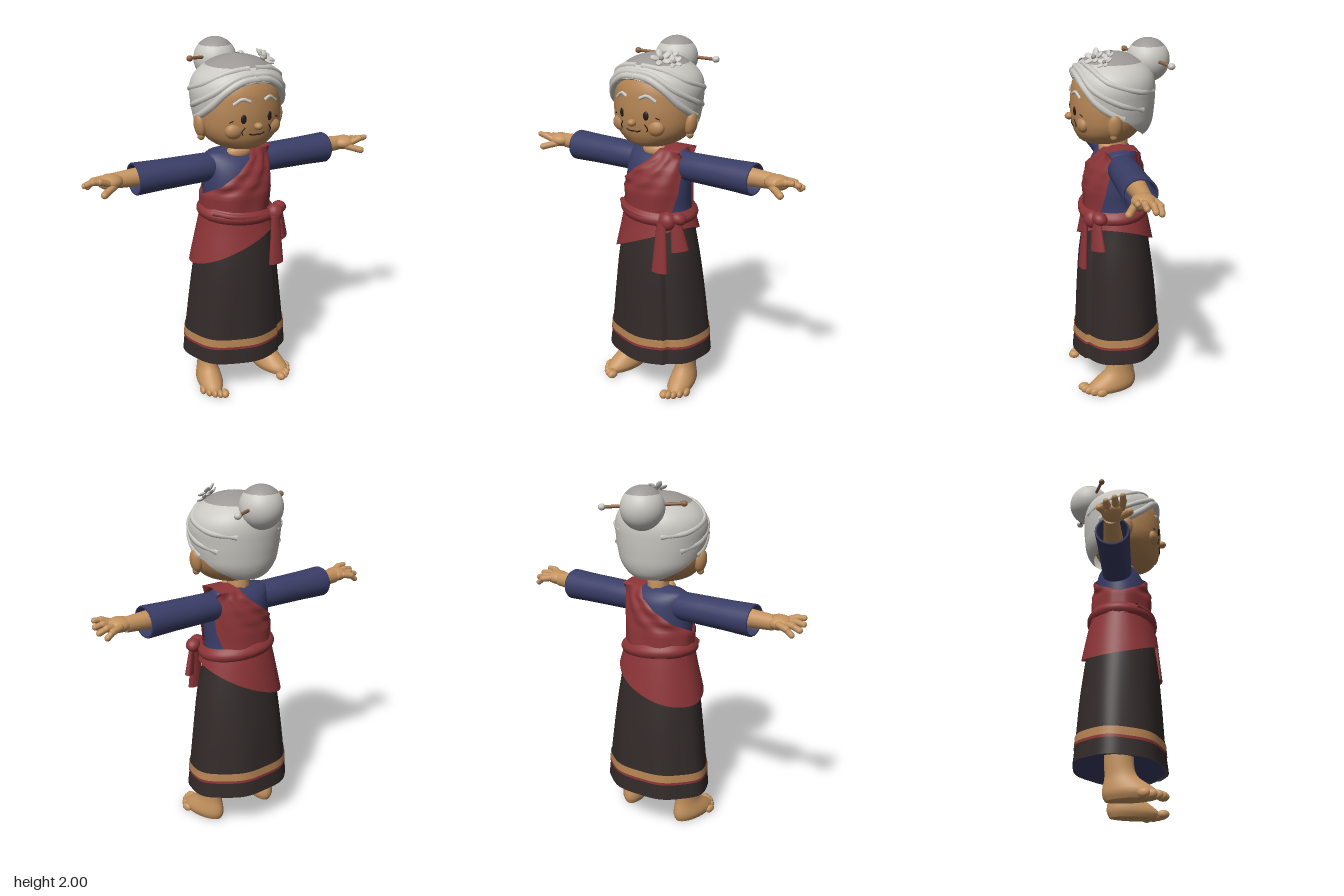
import * as THREE from 'three';
import { mergeVertices } from 'three/addons/utils/BufferGeometryUtils.js';

const paint = (name, color) => Object.assign(new THREE.MeshStandardMaterial({ color }), { name, side: THREE.DoubleSide });
const M = {
  skin: paint('skin', 0xc4935f), face: paint('face skin', 0xb58555), hair: paint('silver hair', 0xcac8c2),
  shade: paint('grey hair', 0x9c9896), blue: paint('indigo blouse', 0x393d66), red: paint('red sash', 0x8c3437),
  skirt: paint('dark skirt', 0x322a29), gold: paint('gold band', 0xb58352), dark: paint('dark brown', 0x241a17),
  pin: paint('wooden pin', 0x8d6242),
};

// Profile rows: height, half width, front depth, back depth
const BODY = [[.2, .315, .25, -.25], [.35, .3, .235, -.235], [.6, .27, .222, -.215], [.8, .243, .208, -.19], [1, .205, .18, -.16],
  [1.1, .19, .172, -.142], [1.2, .192, .178, -.138], [1.3, .19, .16, -.13], [1.37, .185, .125, -.115],
  [1.405, .178, .085, -.085], [1.425, .13, .055, -.06], [1.432, .06, .03, -.03]];
const HEAD = [[1.445, .01, .09, .06], [1.457, .1, .18, -.03], [1.5, .18, .225, -.1], [1.56, .222, .245, -.14], [1.63, .235, .252, -.16],
  [1.7, .235, .25, -.17], [1.78, .222, .237, -.17], [1.85, .17, .19, -.13], [1.9, .06, .1, -.04]];
const HAIR = [[1.48, .1, .1, -.12], [1.5, .15, .15, -.16], [1.56, .215, .22, -.19], [1.63, .242, .255, -.2], [1.7, .254, .265, -.205],
  [1.77, .258, .262, -.205], [1.83, .235, .245, -.19], [1.88, .18, .2, -.15], [1.92, .1, .13, -.08], [1.94, .005, .035, .025]];
const FOOT = [[0, .058, .2, -.065], [.03, .073, .215, -.08], [.07, .068, .17, -.078], [.12, .057, .105, -.068], [.2, .057, .085, -.07], [.36, .06, .09, -.07]];

// Smooth interpolation of a profile at height y
function ring(table, y) {
  let i = 0;
  while (i < table.length - 2 && y > table[i + 1][0]) i++;
  const a = table[i], b = table[i + 1], p = table[Math.max(i - 1, 0)], n = table[Math.min(i + 2, table.length - 1)];
  const h = b[0] - a[0], t = THREE.MathUtils.clamp((y - a[0]) / h, 0, 1), s = t * t * (3 - 2 * t);
  return [1, 2, 3].map(k => a[k] + (b[k] - a[k]) * s
    + h * (t * (1 - t) ** 2 * (b[k] - p[k]) / (b[0] - p[0]) - t * t * (1 - t) * (n[k] - a[k]) / (n[0] - a[0])));
}
// Point around a profile: angle 0 is the front, growing towards +x
function around(table, t, y, off = 0) {
  const [rx, zf, zb] = ring(table, y);
  return [(rx + off) * Math.sin(t), y, (zf + zb) / 2 + ((zf - zb) / 2 + off) * Math.cos(t)];
}
// Point on a profile under a given x, on the front (side 1) or back (side -1)
function onto(table, x, y, side = 1, off = 0) {
  const [rx, zf, zb] = ring(table, y), q = THREE.MathUtils.clamp(x / rx, -1, 1);
  const c = Math.sqrt(1 - q * q) * side;
  return [(rx + off) * q, y, (zf + zb) / 2 + ((zf - zb) / 2 + off) * c];
}
const rad = THREE.MathUtils.degToRad, TAU = Math.PI * 2;

function add(parent, name, geometry, material, pos = [0, 0, 0], scale = [1, 1, 1], rot = [0, 0, 0]) {
  const m = new THREE.Mesh(geometry, material);
  m.name = name;
  m.position.set(...pos); m.scale.set(...scale); m.rotation.set(...rot);
  parent.add(m);
  return m;
}
// Grid surface from fn(u, v)
function patch(parent, name, material, nu, nv, fn) {
  const pos = [], idx = [];
  for (let j = 0; j <= nv; j++) for (let i = 0; i <= nu; i++) pos.push(...fn(i / nu, j / nv));
  for (let j = 0; j < nv; j++) for (let i = 0; i < nu; i++) {
    const a = j * (nu + 1) + i, c = a + nu + 1;
    idx.push(a, a + 1, c + 1, a, c + 1, c);
  }
  let g = new THREE.BufferGeometry();
  g.setAttribute('position', new THREE.Float32BufferAttribute(pos, 3));
  g.setIndex(idx);
  g = mergeVertices(g, 1e-5);
  g.computeVertexNormals();
  return add(parent, name, g, material);
}
const ball = (p, name, mat, pos, scale, rot) => add(p, name, new THREE.SphereGeometry(1, 20, 14), mat, pos, scale, rot);
const tube = (p, name, mat, pts, r, n = 24) => add(p, name,
  new THREE.TubeGeometry(new THREE.CatmullRomCurve3(pts.map(q => new THREE.Vector3(...q))), n, r, 8), mat);
// Rounded limb between two points
function limb(p, name, mat, a, b, r) {
  const A = new THREE.Vector3(...a), B = new THREE.Vector3(...b), d = B.clone().sub(A);
  const m = add(p, name, new THREE.CapsuleGeometry(r, d.length(), 5, 10), mat, A.clone().add(B).multiplyScalar(.5).toArray());
  m.quaternion.setFromUnitVectors(new THREE.Vector3(0, 1, 0), d.normalize());
}

function buildClothes(g) {
  // Wrapped skirt with an overlapping front fold
  const fold = t => { const d = (rad(34) - t + TAU * 2) % TAU; return d < 2 ? .016 * (1 - d / 2) : 0; };
  const wave = (t, y) => fold(t) + .005 * Math.sin(t * 7 + 1) * Math.max(0, (1 - y) / .8);
  const wrap = (name, mat, lo, hi, off, nv) => patch(g, name, mat, 120, nv, (u, v) => {
    const t = u * TAU, a = lo(t), y = a + (hi(t) - a) * v;
    return around(BODY, t, y, wave(t, y) + off(v));
  });
  const hem = t => .216 - .012 * Math.cos(t);
  wrap('skirt', M.skirt, hem, () => 1.08, () => 0, 20);
  wrap('goldHemBand', M.gold, t => hem(t) + .105, t => hem(t) + .15, () => .005, 2);
  wrap('redHemBand', M.red, t => hem(t) + .09, t => hem(t) + .108, () => .004, 1);
  patch(g, 'underskirt', M.blue, 60, 4, (u, v) => {
    const [x, y, z] = around(BODY, u * TAU, hem(u * TAU) + .006, -.004);
    return [x * (1 - v), y + .06 * v, z * (1 - v)];
  });
  // Blouse and sleeves
  patch(g, 'blouse', M.blue, 60, 24, (u, v) => around(BODY, u * TAU, 1.04 + .392 * v));
  const sleeve = [[.06, .1], [.078, .15], [.08, .3], [.082, .45], [.087, .595], [.083, .602], [.075, .598], [.07, .5]]
    .map(p => new THREE.Vector2(...p));
  for (const s of [1, -1]) add(g, 'sleeve', new THREE.LatheGeometry(sleeve, 28), M.blue, [0, 1.333, 0], [1, 1, 1.06], [0, 0, -s * Math.PI / 2]);
  // Sash drawn across the chest, over the left shoulder and down the back
  const rows = [[1.05, -.3, .13], [1.1, -.3, .15], [1.19, -.3, .172], [1.25, -.14, .175], [1.32, -.055, .178], [1.38, .02, .18], [1.415, .05, .18]];
  const strip = [...rows.map(r => [...r, 1]), [1.428, .06, .18, 0], ...rows.map(r => [...r, -1]).reverse()];
  patch(g, 'shoulderSash', M.red, 24, 56, (u, v) => {
    const f = Math.min(v * (strip.length - 1), strip.length - 1.0001), i = Math.floor(f), k = f - i;
    const pts = [strip[i], strip[i + 1]].map(([y, l, r, side]) => {
      const rx = ring(BODY, y)[0];
      if (Math.abs(side) < 1 || y > 1.4) return [l + (r - l) * u, y + .014, side * .085];
      const ta = Math.asin(Math.max(-1, l / rx)), tb = Math.asin(Math.min(.94, r / rx));
      return onto(BODY, rx * Math.sin(ta + (tb - ta) * u), y, side, .016 + .004 * Math.sin(u * 18));
    });
    return pts[0].map((c, n) => c + (pts[1][n] - c) * k);
  });
  // Hip drape, belt, knot and hanging ends
  wrap('hipDrape', M.red, t => .89 - .11 * Math.cos(t + rad(110)), () => 1.07, v => .014 + .01 * (1 - v), 8);
  const tilt = t => 1.075 - .015 * Math.sin(t) - .01 * Math.cos(t);
  wrap('belt', M.red, t => tilt(t) - .04, t => tilt(t) + .035, v => .012 + .022 * Math.sin(v * Math.PI), 8);
  tube(g, 'beltTwist', M.red, [-60, -30, 0, 30, 50].map((d, i) => around(BODY, rad(d), 1.1 - i * .013, .03)), .015);
  ball(g, 'knot', M.red, [.165, 1.06, .17], [.05, .052, .045]);
  ball(g, 'knotLoop', M.red, [.215, 1.075, .135], [.045, .035, .04], [0, .6, -.4]);
  const end = (h, pos, rot) => add(g, 'sashEnd', new THREE.CylinderGeometry(.028, .05, h, 12, 4), M.red, pos, [1, 1, .45], rot);
  end(.28, [.15, .915, .212], [-.06, .15, 0]);
  end(.17, [.222, .98, .15], [-.1, .7, .2]);
}

function buildHead(g) {
  tube(g, 'neck', M.skin, [[0, 1.37, .0], [0, 1.43, 0], [0, 1.5, .01]], .062);
  ball(g, 'neckline', M.skin, [0, 1.41, .055], [.075, .045, .045]);
  patch(g, 'face', M.face, 48, 36, (u, v) => around(HEAD, u * TAU, 1.445 + .455 * (1 - Math.cos(v * Math.PI)) / 2));
  ball(g, 'nose', M.face, [0, 1.598, .258], [.024, .02, .026]);
  const mark = (name, mat, pts, r, off = 0) => tube(g, name, mat, pts.map(([x, y]) => onto(HEAD, x, y, 1, off)), r, 12);
  mark('mouth', M.dark, [[-.045, 1.558], [-.02, 1.55], [0, 1.553], [.02, 1.55], [.045, 1.558]], .004);
  for (const s of [1, -1]) {
    ball(g, 'ear', M.face, [s * .236, 1.585, .055], [.03, .065, .04], [0, 0, -s * .15]);
    ball(g, 'earLobe', M.face, [s * .232, 1.53, .06], [.02, .022, .02]);
    ball(g, 'cheek', M.face, onto(HEAD, s * .12, 1.575, 1, -.02), [.055, .045, .035]);
    ball(g, 'eye', M.dark, onto(HEAD, s * .078, 1.64), [.015, .024, .006], [0, s * .3, 0]);
    mark('eyebrow', M.hair, [[s * .04, 1.728], [s * .08, 1.742], [s * .125, 1.715]], .009);
    mark('eyeCrease', M.dark, [[s * .125, 1.632], [s * .145, 1.622]], .003);
    mark('smileLine', M.dark, [[s * .07, 1.595], [s * .085, 1.57], [s * .078, 1.555]], .003, .004);
  }
}

function buildHair(g) {
  // Hairline height by angle from the front
  const line = [[0, 1.825], [20, 1.815], [40, 1.765], [60, 1.69], [80, 1.635], [100, 1.6], [115, 1.545], [140, 1.495], [180, 1.49]];
  const edge = t => {
    const d = Math.abs(THREE.MathUtils.radToDeg(Math.atan2(Math.sin(t), Math.cos(t))));
    const i = Math.max(0, line.findIndex(p => p[0] >= d) - 1), [a, b] = [line[i], line[i + 1]];
    return a[1] + (b[1] - a[1]) * (d - a[0]) / (b[0] - a[0]);
  };
  patch(g, 'hair', M.hair, 72, 24, (u, v) => {
    const t = u * TAU, lo = edge(t);
    return around(HAIR, t, lo + (1.888 - lo) * v);
  });
  patch(g, 'crown', M.shade, 48, 10, (u, v) => around(HAIR, u * TAU, 1.888 + .052 * Math.sin(v * Math.PI / 2)));
  // Swept locks along the hairline and across the sides
  const lock = (pts, r) => tube(g, 'hairLock', M.hair, pts.map(([d, y]) => around(HAIR, rad(d), y, -r * .45)), r, 40);
  for (const s of [1, -1]) {
    lock([0, 20, 40, 60, 80, 95].map(d => [s * d, edge(rad(d)) + .012]), .02);
    lock([[-s * 8, 1.855], [s * 25, 1.845], [s * 55, 1.77], [s * 90, 1.7], [s * 125, 1.66]], .018);
    lock([[s * 5, 1.885], [s * 40, 1.87], [s * 75, 1.81], [s * 115, 1.76], [s * 150, 1.74]], .016);
  }
  // Bun with its pin
  const bun = new THREE.Group();
  bun.name = 'bun';
  bun.position.set(-.02, 1.882, -.175);
  add(bun, 'bunLower', new THREE.SphereGeometry(.118, 32, 20, 0, TAU, .85, Math.PI - .85), M.hair);
  add(bun, 'bunTop', new THREE.SphereGeometry(.118, 32, 8, 0, TAU, 0, .85), M.shade);
  limb(bun, 'hairpin', M.pin, [-.19, .03, .085], [.2, -.005, -.075], .009);
  ball(bun, 'pinTip', M.pin, [-.197, .03, .088], [.018, .016, .016]);
  ball(bun, 'pinBead', M.hair, [.205, -.005, -.078], [.02, .018, .02]);
  g.add(bun);
  // Silver blossoms
  for (const [x, y, z, s] of [[.1, 1.918, .135, 1], [.15, 1.9, .09, .8], [.12, 1.925, .07, .7]]) {
    const flower = new THREE.Group();
    flower.name = 'flower';
    flower.position.set(x, y, z);
    flower.scale.setScalar(s);
    flower.quaternion.setFromUnitVectors(new THREE.Vector3(0, 1, 0), new THREE.Vector3(.4, .75, .5).normalize());
    for (let i = 0; i < 5; i++) {
      const a = i * TAU / 5;
      ball(flower, 'petal', M.hair, [.032 * Math.cos(a), .012, .032 * Math.sin(a)], [.026, .008, .017], [0, -a, .35]);
    }
    ball(flower, 'flowerCentre', M.shade, [0, .012, 0], [.013, .012, .013]);
    g.add(flower);
  }
}

function buildLimbs(g, s) {
  // Forearm, palm, fingers and thumb
  const arm = new THREE.Group();
  arm.name = s > 0 ? 'leftHand' : 'rightHand';
  add(arm, 'forearm', new THREE.CylinderGeometry(.041, .056, .22, 20), M.skin, [s * .6, 1.343, 0], [1, 1, .95], [0, 0, -s * Math.PI / 2]);
  ball(arm, 'palm', M.skin, [s * .735, 1.347, .015], [.068, .04, .062]);
  [[-.035, -.05, .835, 1.315], [-.005, -.015, .862, 1.335], [.028, .028, .862, 1.355], [.055, .068, .845, 1.375]].forEach(([z0, z1, x, y]) => {
    limb(arm, 'finger', M.skin, [s * .755, 1.35, z0], [s * (x * .6 + .755 * .4), y * .5 + .684, z1], .019);
    limb(arm, 'fingertip', M.skin, [s * (x * .6 + .755 * .4), y * .5 + .684, z1], [s * x, y, z1], .016);
  });
  limb(arm, 'thumb', M.skin, [s * .72, 1.335, .05], [s * .8, 1.31, .1], .019);
  // Leg and foot turned slightly outward, with toes
  const leg = new THREE.Group();
  leg.name = s > 0 ? 'leftLeg' : 'rightLeg';
  leg.position.set(s * .19, .008, .005);
  leg.rotation.y = s * .22;
  patch(leg, 'foot', M.skin, 28, 20, (u, v) => around(FOOT, u * TAU, .36 * v));
  patch(leg, 'sole', M.skin, 28, 1, (u, v) => around(FOOT, u * TAU, 0).map((c, k) => k === 2 ? .07 + (c - .07) * v : c * v));
  for (let i = 0; i < 5; i++)
    ball(leg, 'toe', M.skin, [s * (-.05 + i * .028), .02, .222 - i * i * .0045], [i ? .017 : .024, .024, .032]);
  g.add(arm, leg);
}

export function createModel() {
  const model = new THREE.Group();
  model.name = 'grandmother';
  buildClothes(model);
  buildHead(model);
  buildHair(model);
  for (const s of [1, -1]) buildLimbs(model, s);
  return model;
}
